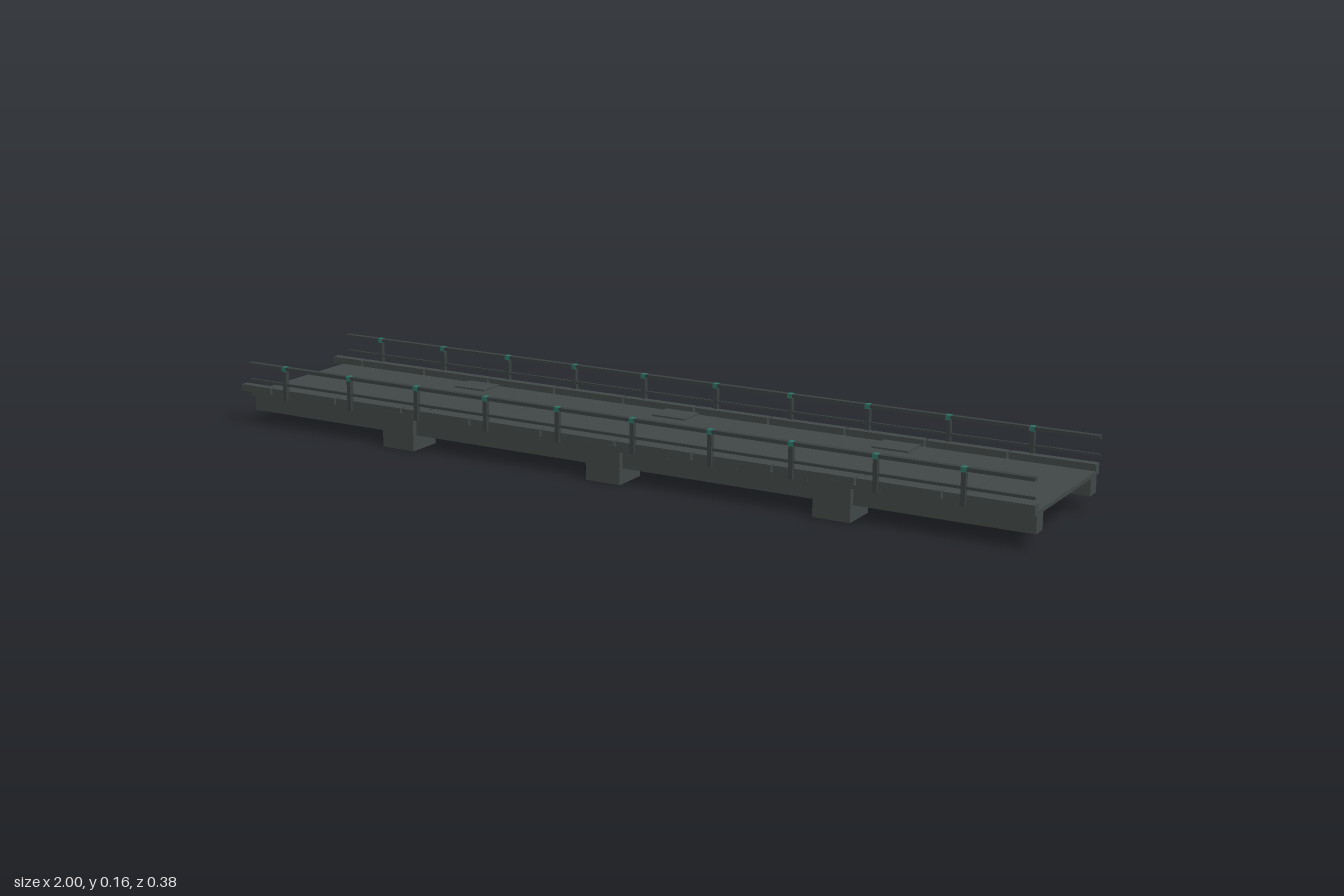
import * as THREE from 'three';

export function createModel() {
  const bridge = new THREE.Group();
  bridge.name = 'footbridge';
  const concrete = new THREE.MeshStandardMaterial({ name: 'dark concrete', color: 0x424948 });
  const steel = new THREE.MeshStandardMaterial({ name: 'railing steel', color: 0x3a4140 });
  const teal = new THREE.MeshStandardMaterial({ name: 'teal clamp', color: 0x2f7364 });

  // Box given by its lower and upper bounds on each axis
  function box(name, material, [x0, x1], [y0, y1], [z0, z1], parent = bridge) {
    const mesh = new THREE.Mesh(new THREE.BoxGeometry(x1 - x0, y1 - y0, z1 - z0), material);
    mesh.position.set((x0 + x1) / 2, (y0 + y1) / 2, (z0 + z1) / 2);
    mesh.name = name;
    parent.add(mesh);
  }

  const START = -0.97, END = 1, BAY = 0.1905;

  // Deck slabs laid edge to edge
  const slabs = 12, slabLength = (END - START) / slabs;
  for (let i = 0; i < slabs; i++) {
    const x = START + i * slabLength;
    box('deckSlab', concrete, [x, x + slabLength - (i < slabs - 1 ? 0.001 : 0)], [0.073, 0.082], [-0.184, 0.184]);
  }

  for (const s of [1, -1]) {
    const side = new THREE.Group();
    side.name = s > 0 ? 'frontSide' : 'backSide';
    bridge.add(side);
    const across = (a, b) => (s > 0 ? [a, b] : [-b, -a]);

    // Longitudinal beam and the piers, which rise just through the deck
    box('edgeBeam', concrete, [START, END], [0.035, 0.074], across(0.137, 0.172), side);
    for (const x of [-0.538, 0.013, 0.563]) {
      box('pier', concrete, [x - 0.043, x + 0.043], [0, 0.086], across(0.099, 0.185), side);
    }

    // Curb blocks with small open joints; the first overhangs the deck
    for (let i = 0; i <= 10; i++) {
      const x0 = i === 0 ? -1 : -0.912 + (i - 1) * BAY + 0.005;
      const x1 = i === 10 ? END : -0.912 + i * BAY;
      box('curbBlock', concrete, [x0, x1], [0.081, 0.097], across(0.165, 0.1845), side);
    }

    // Railing: two rails on evenly spaced posts with clamps
    box('topRail', steel, [START, END], [0.147, 0.155], across(0.179, 0.192), side);
    box('lowerRail', steel, [START, END], [0.109, 0.115], across(0.182, 0.188), side);
    for (let i = 0; i < 10; i++) {
      const x = -0.863 + i * BAY;
      box('railPost', steel, [x - 0.005, x + 0.005], [0.075, 0.15], across(0.18, 0.191), side);
      box('railClamp', teal, [x - 0.006, x + 0.006], [0.145, 0.1555], across(0.1785, 0.1925), side);
    }
  }
  return bridge;
}
